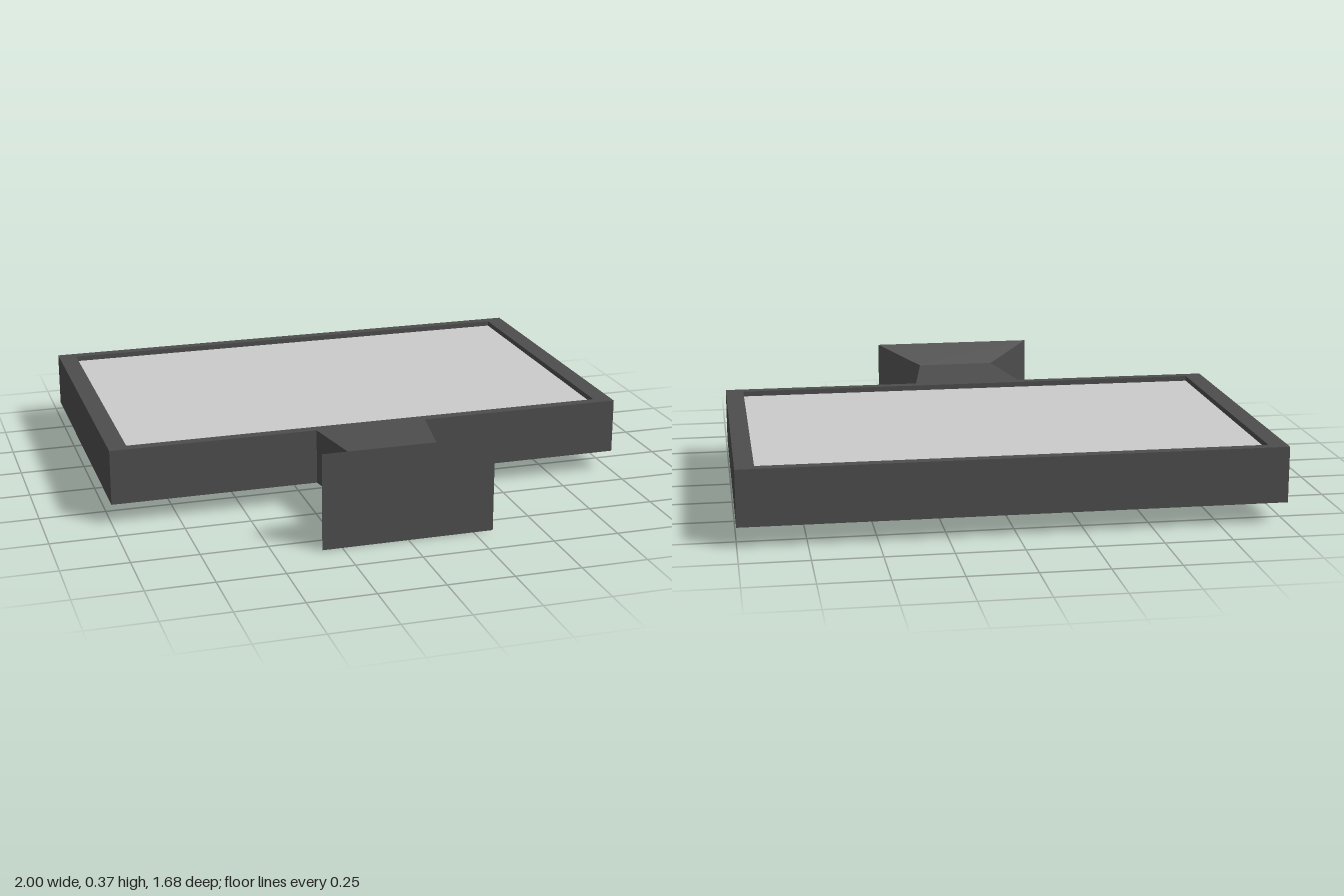
import * as THREE from 'three';

const BOTTOM = 0.08, TOP = 0.29;        // thickness range of the housing
const BACK = -0.84, FRONT = 0.39;       // z range of the housing
const MID = (BACK + FRONT) / 2;

const dark = new THREE.MeshStandardMaterial({ color: 0x4d4d4d, flatShading: true });
const grey = new THREE.MeshStandardMaterial({ color: 0xcccccc });

function add(group, name, geometry, material, y = 0, z = 0) {
  const mesh = new THREE.Mesh(geometry, material);
  mesh.name = name;
  mesh.position.set(0, y, z);
  group.add(mesh);
  return mesh;
}

// Rectangle outline centred on the origin
function rectangle(w, d, Type = THREE.Shape) {
  return new Type([[-1, -1], [1, -1], [1, 1], [-1, 1]]
    .map(([x, y]) => new THREE.Vector2(x * w / 2, y * d / 2)));
}

// Tapered block between two rectangles { z, w: half width, y0, y1 }, closed at its front
function taper(from, to) {
  const corners = ({ z, w, y0, y1 }) => [[-w, y0, z], [w, y0, z], [w, y1, z], [-w, y1, z]];
  const a = corners(from), b = corners(to), points = [];
  const quad = (p, q, r, s) => points.push(...p, ...q, ...r, ...p, ...r, ...s);
  for (let i = 0; i < 4; i++) {
    const j = (i + 1) % 4;
    quad(a[i], a[j], b[j], b[i]);
  }
  quad(...b);
  const geometry = new THREE.BufferGeometry();
  geometry.setAttribute('position', new THREE.Float32BufferAttribute(points, 3));
  geometry.computeVertexNormals();
  return geometry;
}

export function createModel() {
  const group = new THREE.Group();
  group.name = 'monitor';

  // Housing frame with the screen opening
  const outline = rectangle(2, FRONT - BACK);
  outline.holes.push(rectangle(1.86, 1.15, THREE.Path));
  const frame = new THREE.ExtrudeGeometry(outline, { depth: TOP - BOTTOM, bevelEnabled: false });
  frame.rotateX(-Math.PI / 2);
  add(group, 'frame', frame, dark, BOTTOM, MID);

  // Back panel closing the opening from beneath
  add(group, 'backPanel', new THREE.PlaneGeometry(1.86, 1.15).rotateX(Math.PI / 2), dark, BOTTOM, MID);

  // Recessed screen
  add(group, 'screen', new THREE.PlaneGeometry(1.86, 1.15).rotateX(-Math.PI / 2), grey, TOP - 0.02, MID);

  // Narrowing neck and flared foot of the stand
  const joint = { z: 0.735, w: 0.155, y0: BOTTOM, y1: TOP };
  add(group, 'neck', taper({ z: FRONT, w: 0.215, y0: BOTTOM, y1: TOP }, joint), dark);
  add(group, 'foot', taper(joint, { z: 0.84, w: 0.325, y0: 0, y1: 0.365 }), dark);

  return group;
}
